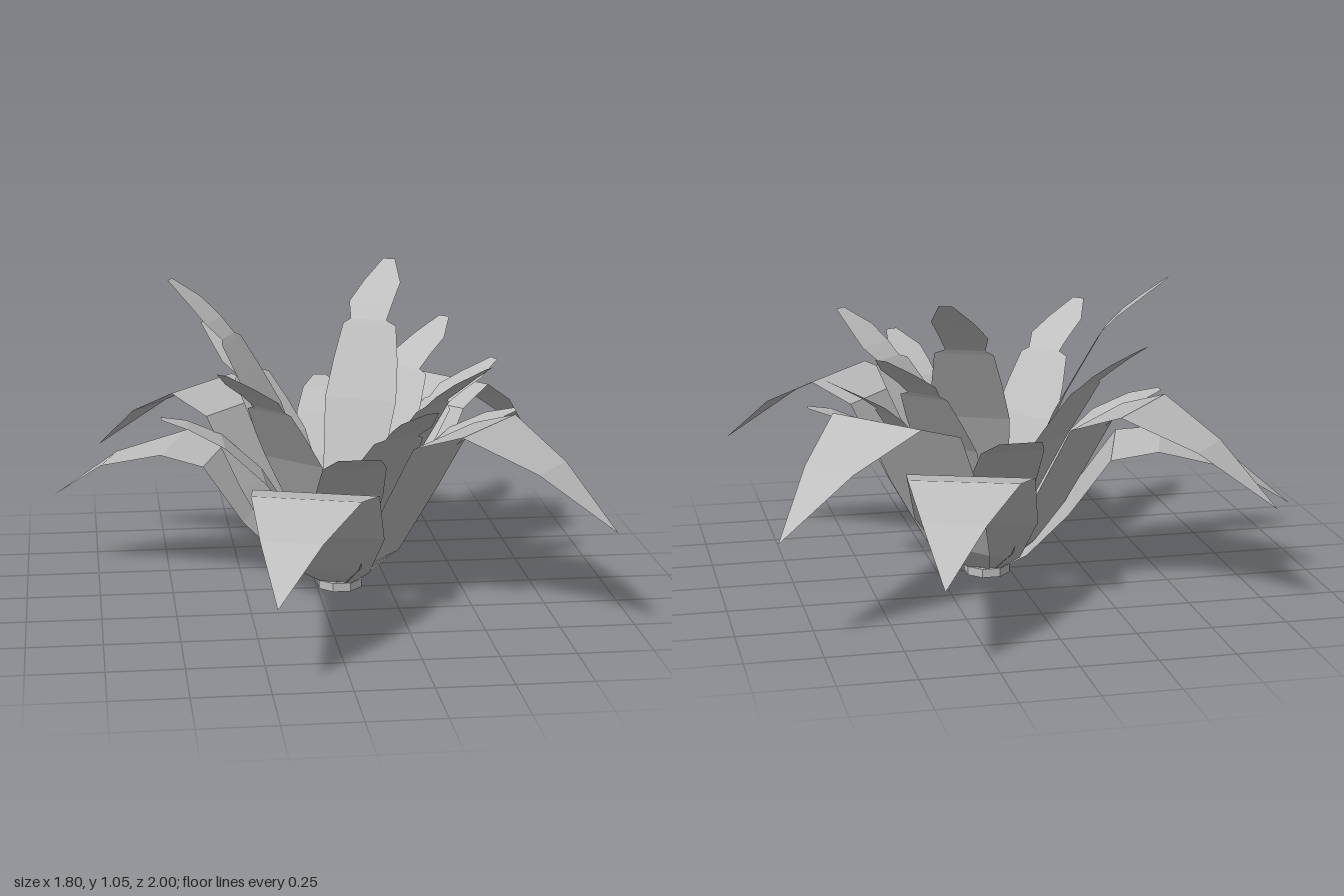
import * as THREE from 'three';

const grey = new THREE.MeshStandardMaterial({ color: 0xbebebe, side: THREE.DoubleSide });
grey.name = 'leafGrey';

// A leaf is a ribbon along +x; each row is [reach, height, left half width, right half width]
function leafGeometry(rows, reach = 1) {
  const pos = [], index = [];
  rows.forEach(([r, y, w, v = w], i) => {
    pos.push(r * reach, y, -w, r * reach, y, v);
    const k = i * 2;
    if (i < rows.length - 1) index.push(k, k + 1, k + 2, k + 1, k + 3, k + 2);
  });
  const g = new THREE.BufferGeometry();
  g.setAttribute('position', new THREE.Float32BufferAttribute(pos, 3));
  g.setIndex(index);
  const flat = g.toNonIndexed();
  flat.computeVertexNormals();
  return flat;
}

// Broad outer leaves that arch over and droop to a point
const lowLeaf = [
  [0.05, 0.025, 0.05], [0.15, 0.1, 0.13], [0.3, 0.27, 0.205], [0.44, 0.46, 0.21],
  [0.6, 0.485, 0.18], [0.84, 0.415, 0.1], [1.05, 0.27, 0.001],
];
const highLeaf = [
  [0.05, 0.025, 0.05], [0.16, 0.12, 0.135], [0.28, 0.355, 0.195], [0.41, 0.595, 0.21],
  [0.576, 0.65, 0.185], [0.81, 0.54, 0.1], [1.047, 0.36, 0.001],
];

// Upright inner leaves with notched edges and blunt tips
const notched = (top, bulge) => [
  [0.05, 0.03, 0.04], [0.13, top * 0.31, 0.1 * bulge], [0.25, top * 0.58, 0.13 * bulge],
  [0.32, top * 0.7, 0.12 * bulge, 0.115 * bulge], [0.385, top * 0.81, 0.105 * bulge, 0.09 * bulge],
  [0.395, top * 0.825, 0.08 * bulge, 0.052 * bulge], [0.445, top * 0.875, 0.1 * bulge, 0.06 * bulge],
  [0.52, top * 0.935, 0.068 * bulge], [0.61, top, 0.022],
];
const plainLeaf = [
  [0.05, 0.03, 0.04], [0.13, 0.2, 0.09], [0.26, 0.4, 0.115],
  [0.4, 0.53, 0.105], [0.52, 0.59, 0.07], [0.61, 0.615, 0.022],
];

export function createModel() {
  const plant = new THREE.Group();
  plant.name = 'rosettePlant';
  plant.position.set(0.08, 0, -0.02);

  const ring = (name, rows, angles, reaches = []) => {
    const group = new THREE.Group();
    group.name = name + 's';
    angles.forEach((deg, i) => {
      const leaf = new THREE.Mesh(leafGeometry(rows, reaches[i]), grey);
      leaf.name = name;
      leaf.rotation.y = -THREE.MathUtils.degToRad(deg);
      group.add(leaf);
    });
    plant.add(group);
  };

  ring('lowOuterLeaf', lowLeaf, [-71, 107, 197.5], [0.985, 1.015, 0.98]);
  ring('highOuterLeaf', highLeaf, [-40.5, 38.5, 219]);
  ring('tallInnerLeaf', notched(1.05, 1), [-66, 203]);
  ring('middleInnerLeaf', notched(0.86, 0.95), [-45, 45, 135, 225]);
  ring('shortInnerLeaf', notched(0.75, 0.95), [-20, 68]);
  ring('lowInnerLeaf', plainLeaf, [0, 90, 180, 270]);

  // Short eight-sided stem with a low bevelled crown
  const profile = [[0, 0], [0.08, 0], [0.08, 0.03], [0.062, 0.03], [0.036, 0.06], [0, 0.06]];
  const lathe = new THREE.LatheGeometry(profile.map(([x, y]) => new THREE.Vector2(x, y)), 8).toNonIndexed();
  lathe.computeVertexNormals();
  const stem = new THREE.Mesh(lathe, grey);
  stem.name = 'stem';
  stem.rotation.y = Math.PI / 8;
  plant.add(stem);

  const model = new THREE.Group();
  model.name = 'plant';
  model.add(plant);
  return model;
}
